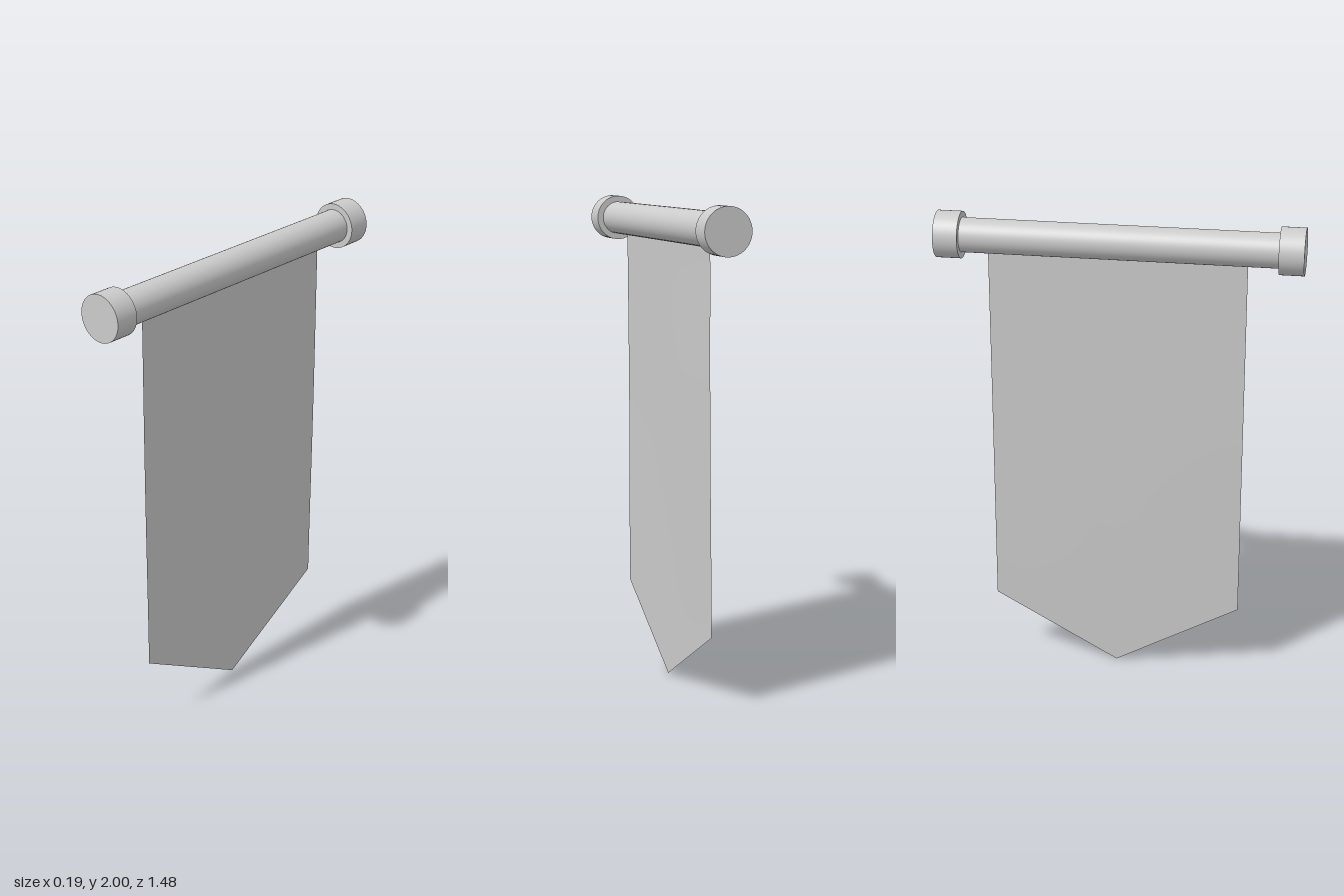
import * as THREE from 'three';

const material = new THREE.MeshStandardMaterial({ color: 0xcccccc });
const clothMaterial = new THREE.MeshStandardMaterial({ color: 0xcccccc, side: THREE.DoubleSide });
const POLE_Y = 1.905;

// Cylinder lying along z
function rod(name, radius, length, z) {
  const geometry = new THREE.CylinderGeometry(radius, radius, length, 48).rotateX(Math.PI / 2);
  const mesh = new THREE.Mesh(geometry, material);
  mesh.name = name;
  mesh.position.set(0, POLE_Y, z);
  return mesh;
}

// Thin hanging sheet with a pointed lower edge and a very slight ripple
function cloth() {
  const width = 1.05, top = 1.88, tip = 0.005, corner = 0.295, centreZ = -0.01;
  const geometry = new THREE.PlaneGeometry(1, 1, 12, 16);
  const p = geometry.attributes.position;
  for (let i = 0; i < p.count; i++) {
    const u = p.getX(i) * 2; // -1..1 across
    const drop = 0.5 - p.getY(i); // 0 at the pole, 1 at the lower edge
    const bottom = tip + (corner - tip) * Math.abs(u);
    const y = top + (bottom - top) * drop;
    const x = -0.002 - 0.01 * drop + 0.003 * drop * u * Math.sin(drop * 5);
    p.setXYZ(i, x, y, centreZ - u * width / 2);
  }
  geometry.computeVertexNormals();
  const mesh = new THREE.Mesh(geometry, clothMaterial);
  mesh.name = 'bannerCloth';
  return mesh;
}

export function createModel() {
  const model = new THREE.Group();
  model.name = 'hangingBanner';
  model.add(rod('pole', 0.07, 1.3, 0));
  // End caps
  for (const side of [1, -1]) {
    model.add(rod(side > 0 ? 'frontCap' : 'backCap', 0.095, 0.1, side * 0.69));
  }
  model.add(cloth());
  return model;
}
